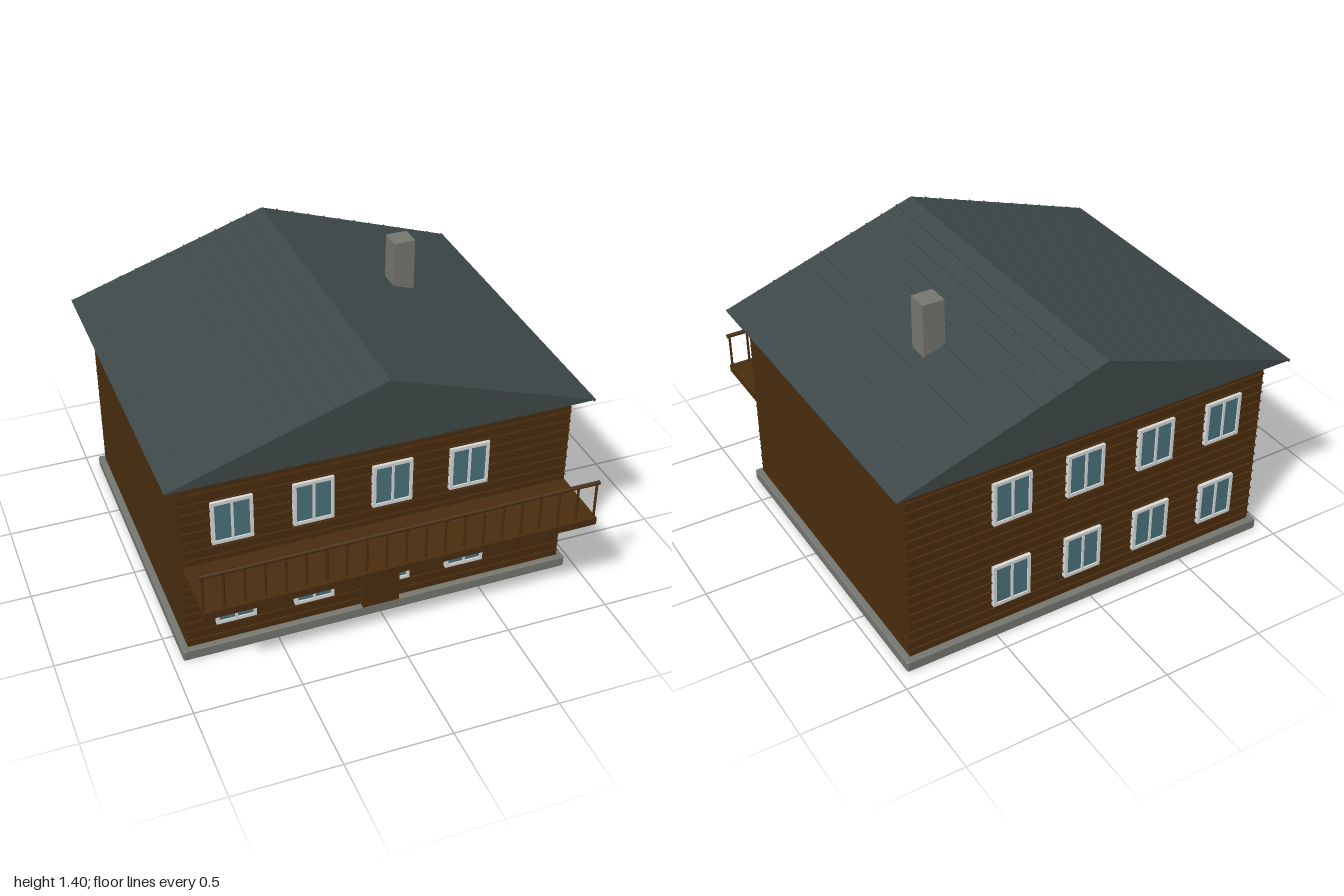
import * as THREE from 'three';
import { RoundedBoxGeometry } from 'three/addons/geometries/RoundedBoxGeometry.js';

const mat = (name, color) => Object.assign(new THREE.MeshStandardMaterial({ color }), { name });

export function createModel() {
  const house = new THREE.Group();
  house.name = 'house';
  const wood = mat('brown wood', 0x4a2d0f);
  const slate = mat('slate roof', 0x3d4848);
  const stone = mat('grey stone', 0x757670);
  const white = mat('white trim', 0xd6dad8);
  const glass = mat('blue glass', 0x4a717c);

  const add = (parent, name, geometry, material, x = 0, y = 0, z = 0) => {
    const mesh = new THREE.Mesh(geometry, material);
    mesh.name = name;
    mesh.position.set(x, y, z);
    parent.add(mesh);
    return mesh;
  };
  // box given by its lower and upper corners
  const block = (parent, name, material, [x0, y0, z0], [x1, y1, z1]) =>
    add(parent, name, new THREE.BoxGeometry(x1 - x0, y1 - y0, z1 - z0), material,
      (x0 + x1) / 2, (y0 + y1) / 2, (z0 + z1) / 2);
  const group = (name, parent = house) => {
    const g = new THREE.Group();
    g.name = name;
    parent.add(g);
    return g;
  };

  const FRONT = 0.65, BACK = -0.885, HALF = 0.92, EAVE = 0.98, RIDGE = 1.315;

  // foundation and walls
  add(house, 'foundation', new RoundedBoxGeometry(1.9, 0.055, 1.595, 2, 0.008), stone, 0, 0.0275, -0.1195);
  block(house, 'walls', wood, [-HALF, 0.05, BACK], [HALF, EAVE + 0.002, FRONT]);

  // horizontal siding battens on the two gable walls
  const siding = group('siding');
  for (let i = 0; i < 18; i++) {
    const y = 0.09 + i * 0.05;
    block(siding, 'frontBatten', wood, [-HALF, y, FRONT - 0.002], [HALF, y + 0.005, FRONT + 0.009]);
    block(siding, 'backBatten', wood, [-HALF, y, BACK - 0.009], [HALF, y + 0.005, BACK + 0.002]);
  }

  // solid gable roof
  const gable = new THREE.Shape();
  gable.moveTo(-0.995, EAVE);
  gable.lineTo(0.995, EAVE);
  gable.lineTo(0, RIDGE - 0.003);
  gable.closePath();
  const roof = group('roof');
  add(roof, 'roofBody', new THREE.ExtrudeGeometry(gable, { depth: 1.69, bevelEnabled: false }), slate, 0, 0, -0.965);

  // raised seams running along both slopes
  const slope = Math.atan2(RIDGE - EAVE, 0.995);
  const seam = new THREE.BoxGeometry(0.006, 0.012, 1.69);
  for (const side of [-1, 1]) {
    for (let i = 0; i < 12; i++) {
      const x = 0.083 * (i + 1) - 0.004;
      const y = RIDGE - 0.003 - x * Math.tan(slope);
      add(roof, 'roofSeam', seam, slate, side * x, y, -0.12).rotation.z = -side * slope;
    }
  }

  block(house, 'chimney', stone, [0.407, 1.1, -0.325], [0.513, 1.4, -0.222]);

  // framed double window, built facing +z around its own centre
  const W = 0.188, H = 0.222, T = 0.016;
  const outline = new THREE.Shape();
  outline.moveTo(-W / 2, -H / 2);
  outline.lineTo(W / 2, -H / 2);
  outline.lineTo(W / 2, H / 2);
  outline.lineTo(-W / 2, H / 2);
  outline.closePath();
  for (const side of [-1, 1]) {
    const cx = side * (W / 4 - T / 4 - 0.0005), w = W / 4 - T / 2 - 0.002, h = H / 2 - T;
    const hole = new THREE.Path();
    hole.moveTo(cx - w, -h);
    hole.lineTo(cx - w, h);
    hole.lineTo(cx + w, h);
    hole.lineTo(cx + w, -h);
    hole.closePath();
    outline.holes.push(hole);
  }
  const frameGeo = new THREE.ExtrudeGeometry(outline, { depth: 0.022, bevelEnabled: false });
  const paneGeo = new THREE.BoxGeometry(W - T, H - T, 0.006);
  const windows = group('windows');
  for (const back of [false, true]) {
    for (const y of [0.275, 0.728]) {
      for (let i = 0; i < 4; i++) {
        const win = group('window', windows);
        win.position.set(-0.693 + i * 0.37, y, back ? BACK : FRONT);
        if (back) win.rotation.y = Math.PI;
        add(win, 'windowFrame', frameGeo, white);
        add(win, 'windowGlass', paneGeo, glass, 0, 0, 0.012);
      }
    }
  }

  block(house, 'door', wood, [-0.09, 0.05, FRONT - 0.01], [0.09, 0.365, FRONT + 0.027]);

  // balcony with a round handrail on slim balusters
  const balcony = group('balcony');
  block(balcony, 'balconyFloor', wood, [-HALF, 0.475, FRONT], [HALF, 0.511, 0.965]);
  const rail = new THREE.CylinderGeometry(0.01, 0.01, 1.855, 12);
  add(balcony, 'handrail', rail, wood, 0, 0.692, 0.943).rotation.z = Math.PI / 2;
  const baluster = new THREE.CylinderGeometry(0.006, 0.006, 0.185, 8);
  for (let i = 0; i <= 20; i++) {
    add(balcony, 'baluster', baluster, wood, -0.915 + i * 0.0915, 0.6, 0.943);
  }

  return house;
}
